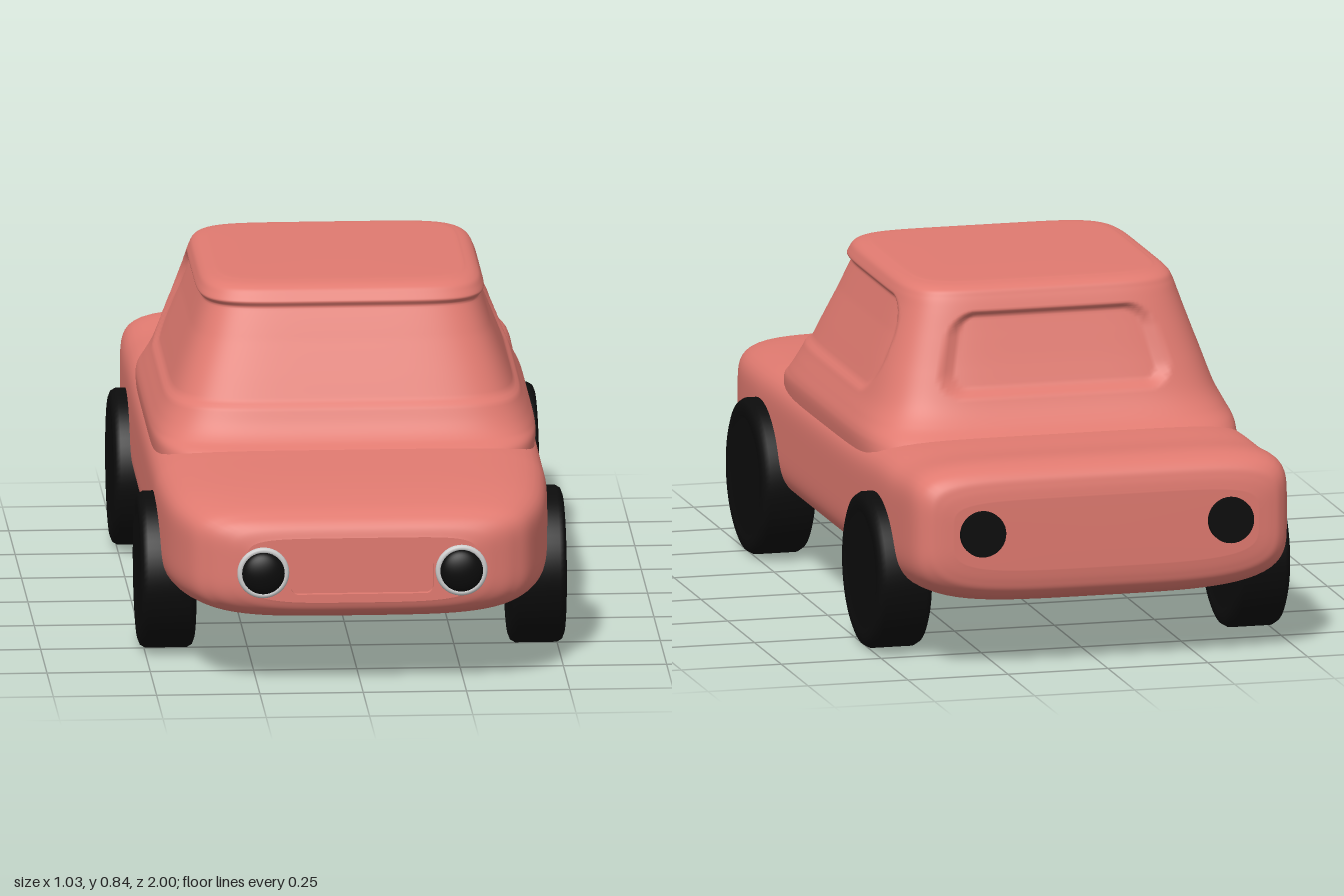
import * as THREE from 'three';

const paint = new THREE.MeshStandardMaterial({ color: 0xe07a70 });
const black = new THREE.MeshStandardMaterial({ color: 0x0c0c0c });
const grey = new THREE.MeshStandardMaterial({ color: 0xcccccc });

function add(parent, name, geometry, material, x = 0, y = 0, z = 0) {
  const mesh = new THREE.Mesh(geometry, material);
  mesh.name = name;
  mesh.position.set(x, y, z);
  parent.add(mesh);
  return mesh;
}

// Smooth in-between rows of a table of section measurements
function refine(rows, steps) {
  const out = [];
  const at = i => rows[Math.min(Math.max(i, 0), rows.length - 1)];
  for (let i = 0; i < rows.length - 1; i++) {
    for (let s = 0; s < steps; s++) {
      const t = s / steps, t2 = t * t, t3 = t2 * t;
      out.push(at(i).map((b, k) => {
        const c = at(i + 1)[k], m0 = (c - at(i - 1)[k]) / 2, m1 = (at(i + 2)[k] - b) / 2;
        return (2 * t3 - 3 * t2 + 1) * b + (t3 - 2 * t2 + t) * m0 + (3 * t2 - 2 * t3) * c + (t3 - t2) * m1;
      }));
    }
  }
  out.push(rows[rows.length - 1]);
  return out;
}

// Point on a rounded rectangle of half sizes a, b
function rounded(angle, a, b, n) {
  const c = Math.cos(angle), s = Math.sin(angle);
  const k = Math.pow(Math.abs(c) ** n + Math.abs(s) ** n, -1 / n);
  return [a * c * k, b * s * k];
}

// Skin over closed rings of equal length
function loft(rings) {
  const n = rings[0].length, index = [];
  for (let i = 0; i < rings.length - 1; i++) {
    for (let j = 0; j < n; j++) {
      const a = i * n + j, b = i * n + (j + 1) % n;
      index.push(a, a + n, b, b, a + n, b + n);
    }
  }
  const g = new THREE.BufferGeometry();
  g.setAttribute('position', new THREE.Float32BufferAttribute(rings.flat(2), 3));
  g.setIndex(index);
  g.computeVertexNormals();
  return g;
}

const ringOf = (count, fn) => Array.from({ length: count }, (_, j) => fn((j / count) * Math.PI * 2));

function bodySection([z, hw, yb, yt]) {
  const mid = (yb + yt) / 2, half = (yt - yb) / 2;
  return ringOf(120, a => {
    const [x, y] = rounded(a, hw, half, Math.sin(a) > 0 ? 6 : 4);
    return [x, mid + y, z];
  });
}

// Signed distance to a rounded box, for the window recesses
function boxDistance(u, v, hu, hv, r) {
  const qu = Math.abs(u) - hu + r, qv = Math.abs(v) - hv + r;
  return Math.hypot(Math.max(qu, 0), Math.max(qv, 0)) + Math.min(Math.max(qu, qv), 0) - r;
}

function windowDepth(x, y, z) {
  // wraparound windscreen and side windows
  const side = boxDistance(z - 0.31, y - 0.68, 0.69, 0.12, 0.1);
  let depth = 0.016 * THREE.MathUtils.smoothstep(-side, 0, 0.018) * THREE.MathUtils.lerp(0.5, 1, THREE.MathUtils.clamp((y - 0.56) / 0.15, 0, 1));
  // rear window, narrower at the top
  if (z < -0.4) {
    const w = 0.3 - (y - 0.58) * 0.28;
    const rear = boxDistance((x / w) * 0.27, y - 0.68, 0.27, 0.1, 0.06);
    depth = Math.max(depth, 0.018 * THREE.MathUtils.smoothstep(-rear, 0, 0.018));
  }
  return depth;
}

function cabinSection([y, zf, zb, hw]) {
  const mid = (zf + zb) / 2, half = (zf - zb) / 2;
  return ringOf(300, a => {
    const [x, z] = rounded(a, hw, half, 6);
    const d = windowDepth(x, y, z + mid);
    const [px, pz] = rounded(a, Math.max(hw - d, 0), Math.max(half - d, 0), 6);
    return [px, y, mid + pz];
  });
}

function roundedRectPath(w, h, r, cy) {
  const p = new THREE.Path();
  p.absarc(w - r, cy + h - r, r, 0, Math.PI / 2);
  p.absarc(-w + r, cy + h - r, r, Math.PI / 2, Math.PI);
  p.absarc(-w + r, cy - h + r, r, Math.PI, Math.PI * 1.5);
  p.absarc(w - r, cy - h + r, r, Math.PI * 1.5, Math.PI * 2);
  p.closePath();
  return p;
}

export function createModel() {
  const car = new THREE.Group();
  car.name = 'car';

  // Lower body, front to back: z, half width, bottom, top
  const nose = [0.965, 0.28, 0.215, 0.375];
  const stations = [
    nose, [0.955, 0.32, 0.195, 0.4], [0.93, 0.37, 0.178, 0.422], [0.88, 0.415, 0.165, 0.441],
    [0.75, 0.455, 0.155, 0.459], [0.55, 0.473, 0.145, 0.471], [0.35, 0.475, 0.138, 0.478],
    [-0.3, 0.475, 0.138, 0.485], [-0.6, 0.475, 0.141, 0.498], [-0.75, 0.475, 0.146, 0.499],
    [-0.88, 0.473, 0.157, 0.508], [-0.94, 0.463, 0.172, 0.5], [-0.97, 0.44, 0.195, 0.48],
    [-0.98, 0.415, 0.22, 0.455], [-0.985, 0.38, 0.25, 0.425],
  ];
  const rings = refine(stations, 7).map(bodySection);
  rings.push(bodySection([-0.985, 0, 0.338, 0.338]));
  add(car, 'lowerBody', loft(rings), paint);

  // Nose panel with the recessed grille
  const panel = new THREE.Shape(bodySection(nose).map(p => new THREE.Vector2(p[0], p[1])));
  panel.holes.push(roundedRectPath(0.172, 0.044, 0.018, 0.28));
  add(car, 'nosePanel', new THREE.ExtrudeGeometry(panel, { depth: 0.02, bevelEnabled: false, curveSegments: 8 }), paint, 0, 0, 0.945);
  add(car, 'grille', new THREE.BoxGeometry(0.36, 0.1, 0.01), paint, 0, 0.28, 0.945);

  // Cabin, bottom to top: y, front z, back z, half width
  const levels = [
    [0.42, 0.5, -0.7, 0.462], [0.465, 0.475, -0.65, 0.467], [0.49, 0.435, -0.62, 0.464],
    [0.52, 0.408, -0.58, 0.451], [0.565, 0.385, -0.545, 0.43], [0.64, 0.35, -0.512, 0.404],
    [0.72, 0.311, -0.482, 0.376], [0.78, 0.279, -0.46, 0.355], [0.81, 0.26, -0.447, 0.345],
    [0.828, 0.245, -0.435, 0.334], [0.838, 0.215, -0.405, 0.31], [0.841, 0.15, -0.35, 0.26],
    [0.842, -0.1, -0.1, 0],
  ];
  add(car, 'cabin', loft(refine(levels, 10).map(cabinSection)), paint);

  // Wheel: rounded tyre with a shallow hub recess on both faces
  const half = [[0, 0.06], [0.14, 0.06], [0.147, 0.067], [0.17, 0.067], [0.183, 0.062], [0.19, 0.05]];
  const profile = [...half.map(([r, h]) => [r, -h]), ...half.reverse()].map(p => new THREE.Vector2(...p));
  const wheelGeo = new THREE.LatheGeometry(profile, 64).rotateZ(Math.PI / 2);

  const ringGeo = new THREE.TorusGeometry(0.055, 0.008, 12, 48);
  const mountGeo = new THREE.CylinderGeometry(0.061, 0.061, 0.035, 48).rotateX(Math.PI / 2);
  const lensGeo = new THREE.SphereGeometry(0.052, 40, 12, 0, Math.PI * 2, 0, Math.PI / 2).rotateX(Math.PI / 2).scale(1, 1, 0.5);
  const tailGeo = new THREE.CylinderGeometry(0.056, 0.056, 0.03, 40).rotateX(Math.PI / 2);

  for (const [side, s] of [['left', 1], ['right', -1]]) {
    add(car, side + 'FrontWheel', wheelGeo, black, s * 0.448, 0.19, 0.475);
    add(car, side + 'RearWheel', wheelGeo, black, s * 0.448, 0.19, -0.61);

    const lamp = new THREE.Group();
    lamp.name = side + 'Headlight';
    lamp.position.set(s * 0.24, 0.293, 0.97);
    add(lamp, 'headlightMount', mountGeo, grey, 0, 0, -0.015);
    add(lamp, 'headlightRing', ringGeo, grey);
    add(lamp, 'headlightLens', lensGeo, black, 0, 0, 0.004);
    car.add(lamp);

    add(car, side + 'TailLight', tailGeo, black, s * 0.31, 0.348, -0.985);
  }
  return car;
}
